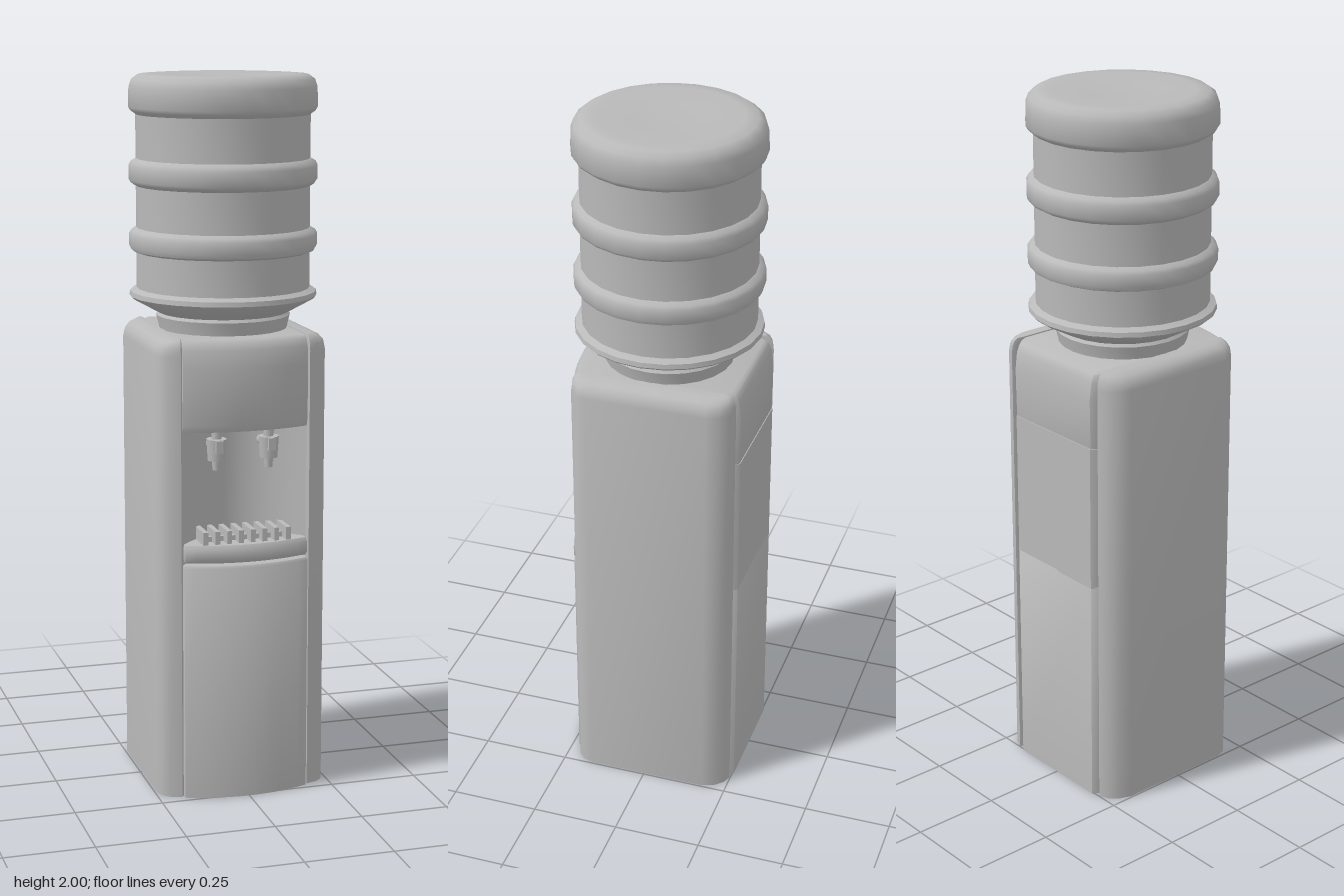
import * as THREE from 'three';
import { toCreasedNormals } from 'three/addons/utils/BufferGeometryUtils.js';

const plastic = new THREE.MeshStandardMaterial({ color: 0xb9b9b9 });
plastic.name = 'grey plastic';

// Closed solid from a plan outline of [x, z] points; each level is [y, scaleX, scaleZ] about a pivot
function loft(outline, levels, [px, pz] = [0, 0]) {
  const plan = outline.map(([x, z]) => new THREE.Vector2(x, z));
  if (THREE.ShapeUtils.isClockWise(plan)) plan.reverse();
  const n = plan.length, pos = [], index = [];
  for (const [y, sx, sz] of levels) {
    for (const p of plan) pos.push(px + (p.x - px) * sx, y, pz + (p.y - pz) * sz);
  }
  for (let l = 0; l < levels.length - 1; l++) {
    for (let i = 0; i < n; i++) {
      const a = l * n + i, b = l * n + (i + 1) % n;
      index.push(a, a + n, b, b, a + n, b + n);
    }
  }
  const top = (levels.length - 1) * n;
  for (const [a, b, c] of THREE.ShapeUtils.triangulateShape(plan, [])) {
    index.push(a, b, c, top + a, top + c, top + b);
  }
  const geo = new THREE.BufferGeometry();
  geo.setAttribute('position', new THREE.Float32BufferAttribute(pos, 3));
  geo.setIndex(index);
  return toCreasedNormals(geo, 0.7);
}

// Plan of the middle column; the front runs from edge depth to centre depth
function columnPlan(edge, centre, half = 0.178, back = -0.255) {
  const pts = [[half, back + 0.022], [half - 0.018, back], [-half + 0.018, back], [-half, back + 0.022]];
  for (let i = 0; i <= 12; i++) {
    const t = i / 6 - 1;
    pts.push([t * half, centre + (edge - centre) * t * t]);
  }
  return pts;
}

export function createModel() {
  const model = new THREE.Group();
  model.name = 'waterCooler';
  const add = (name, geo, x = 0, y = 0, z = 0, parent = model) => {
    const mesh = new THREE.Mesh(geo, plastic);
    mesh.name = name;
    mesh.position.set(x, y, z);
    parent.add(mesh);
    return mesh;
  };

  // Rounded side panels
  for (const s of [-1, 1]) {
    const plan = [
      [0.178, -0.235], [0.184, -0.248], [0.21, -0.238], [0.232, -0.215], [0.245, -0.18],
      [0.245, 0.165], [0.236, 0.193], [0.216, 0.212], [0.184, 0.221], [0.178, 0.212],
    ].map(([x, z]) => [s * x, z]);
    add(s > 0 ? 'leftPanel' : 'rightPanel', loft(plan, [
      [0, 1, 1], [1.255, 1, 1], [1.277, 0.93, 0.99], [1.292, 0.73, 0.965], [1.3, 0.42, 0.92],
    ], [s * 0.178, -0.015]));
  }

  // Middle column: lower door, recessed wall and upper housing
  add('lowerDoor', loft(columnPlan(0.23, 0.264), [[0, 1, 1], [0.665, 1, 1], [0.672, 0.99, 0.98]]));
  add('recessWall', loft(columnPlan(0.212, 0.11), [[0.66, 1, 1], [1.08, 1, 1]]));
  add('upperHousing', loft(columnPlan(0.222, 0.254), [
    [1.045, 1, 0.96], [1.065, 1, 0.99], [1.22, 1, 1], [1.27, 1, 0.975], [1.29, 0.995, 0.94], [1.298, 0.98, 0.89],
  ]));

  // Drip tray with a raised grille
  add('dripTray', loft(columnPlan(0.232, 0.265, 0.176, 0.08), [
    [0.68, 0.98, 0.97], [0.69, 1, 1], [0.718, 1, 1], [0.73, 0.98, 0.97],
  ]));
  const grille = new THREE.Group();
  grille.name = 'grille';
  model.add(grille);
  for (let i = 0; i < 8; i++) {
    add('grilleBar', new THREE.BoxGeometry(0.014, 0.04, 0.085), -0.119 + i * 0.034, 0.746, 0.195, grille);
  }
  add('grilleCrossbar', new THREE.BoxGeometry(0.25, 0.016, 0.014), 0, 0.736, 0.195, grille);

  // Two taps
  for (const s of [-1, 1]) {
    const tap = new THREE.Group();
    tap.name = s > 0 ? 'leftTap' : 'rightTap';
    tap.position.set(s * 0.075, 0, 0.19);
    model.add(tap);
    add('tapBody', new THREE.CylinderGeometry(0.029, 0.025, 0.06, 12), 0, 0.988, 0, tap);
    add('tapNozzle', new THREE.CylinderGeometry(0.013, 0.011, 0.03, 10), 0, 0.945, 0, tap);
    add('tapStem', new THREE.CylinderGeometry(0.014, 0.014, 0.04, 10), 0, 1.03, 0, tap);
    add('tapPipe', new THREE.CylinderGeometry(0.015, 0.015, 0.08, 10), 0, 0.995, -0.045, tap).rotation.x = Math.PI / 2;
    add('tapLever', new THREE.BoxGeometry(0.02, 0.035, 0.012), 0, 1.0, 0.03, tap);
  }

  // Collar and ribbed bottle
  const lathe = (pts) => toCreasedNormals(
    new THREE.LatheGeometry(pts.map(([r, y]) => new THREE.Vector2(r, y)), 24), 0.65);
  add('bottleCollar', lathe([
    [0, 1.29], [0.178, 1.29], [0.182, 1.31], [0.188, 1.335], [0.178, 1.347], [0, 1.347],
  ]));
  add('bottle', lathe([
    [0, 1.34], [0.18, 1.342], [0.256, 1.384], [0.262, 1.39], [0.26, 1.403], [0.242, 1.412],
    [0.242, 1.512], [0.256, 1.518], [0.262, 1.53], [0.262, 1.562], [0.256, 1.572], [0.242, 1.58],
    [0.242, 1.695], [0.256, 1.703], [0.262, 1.712], [0.262, 1.75], [0.256, 1.762], [0.242, 1.77],
    [0.242, 1.89], [0.256, 1.9], [0.262, 1.91], [0.26, 1.965], [0.253, 1.985], [0.235, 1.998],
    [0.2, 2.0], [0.1, 1.994], [0, 1.99],
  ]));
  return model;
}
